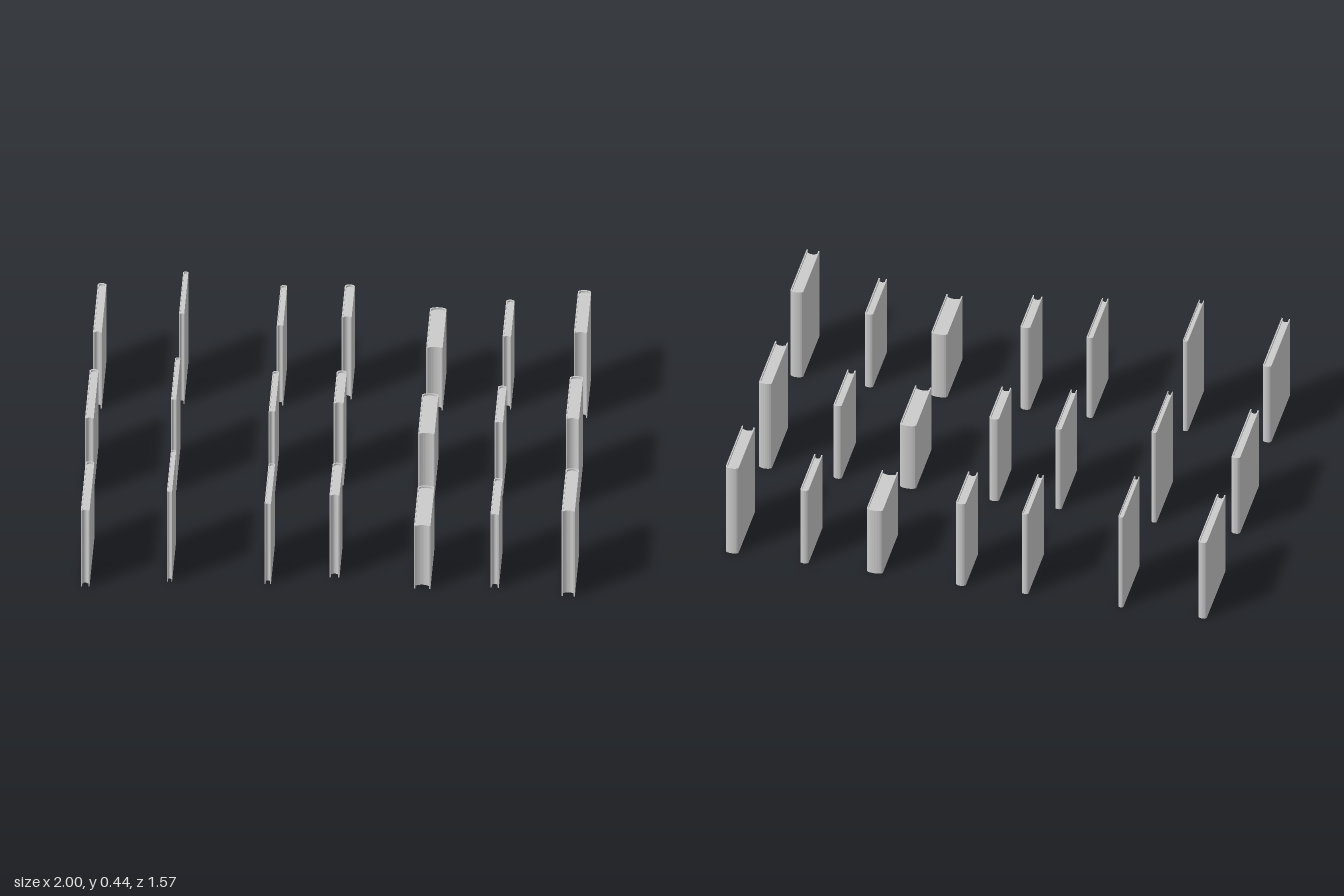
import * as THREE from 'three';

const material = new THREE.MeshStandardMaterial({ color: 0xcccccc });

// [left edge x, thickness, spine z, depth, height] of each book in the back row
const BOOKS = [
  [-1.0, 0.035, -0.78, 0.34, 0.375],
  [-0.658, 0.021, -0.78, 0.29, 0.445],
  [-0.267, 0.026, -0.78, 0.28, 0.395],
  [-0.01, 0.04, -0.787, 0.228, 0.405],
  [0.332, 0.066, -0.783, 0.28, 0.31],
  [0.637, 0.034, -0.782, 0.255, 0.36],
  [0.925, 0.053, -0.782, 0.297, 0.42],
];
// x and z shift of each row
const ROWS = [[0, 0], [0.002, 0.59], [0.022, 1.222]];

// Upright prism from a plan drawn in x and z
function prism(shape, y0, y1, name) {
  const geo = new THREE.ExtrudeGeometry(shape, { depth: y1 - y0, bevelEnabled: false, curveSegments: 8 });
  geo.rotateX(Math.PI / 2).translate(0, y1, 0);
  const mesh = new THREE.Mesh(geo, material);
  mesh.name = name;
  return mesh;
}

function makeBook(width, depth, height) {
  const book = new THREE.Group();
  const w = width / 2;
  const board = Math.min(0.005, width * 0.16);
  const bulge = Math.min(0.014, width * 0.35);
  const inner = w - board;

  // Cover: two boards joined by a rounded spine
  const cover = new THREE.Shape();
  cover.moveTo(-w, depth);
  cover.lineTo(-w, bulge);
  cover.bezierCurveTo(-w * 0.8, 0, w * 0.8, 0, w, bulge);
  cover.lineTo(w, depth);
  cover.lineTo(inner, depth);
  cover.lineTo(inner, bulge + board);
  cover.bezierCurveTo(inner * 0.8, board, -inner * 0.8, board, -inner, bulge + board);
  cover.lineTo(-inner, depth);
  cover.closePath();
  book.add(prism(cover, 0, height, 'cover'));

  // Page block: hollowed fore edge, set in from the cover
  const fore = depth - 0.008;
  const pages = new THREE.Shape();
  pages.moveTo(-inner, fore);
  pages.lineTo(-inner, bulge + board);
  pages.bezierCurveTo(-inner * 0.8, board, inner * 0.8, board, inner, bulge + board);
  pages.lineTo(inner, fore);
  pages.quadraticCurveTo(0, fore - bulge * 1.2, -inner, fore);
  book.add(prism(pages, 0.008, height - 0.008, 'pages'));
  return book;
}

export function createModel() {
  const model = new THREE.Group();
  model.name = 'books';
  ROWS.forEach(([dx, dz], r) => {
    const row = new THREE.Group();
    row.name = `bookRow${r + 1}`;
    BOOKS.forEach(([x, width, z, depth, height], i) => {
      const book = makeBook(width, depth, height);
      book.name = `book${i + 1}`;
      book.position.set(x + width / 2 + dx, 0, z + dz);
      row.add(book);
    });
    model.add(row);
  });
  return model;
}
